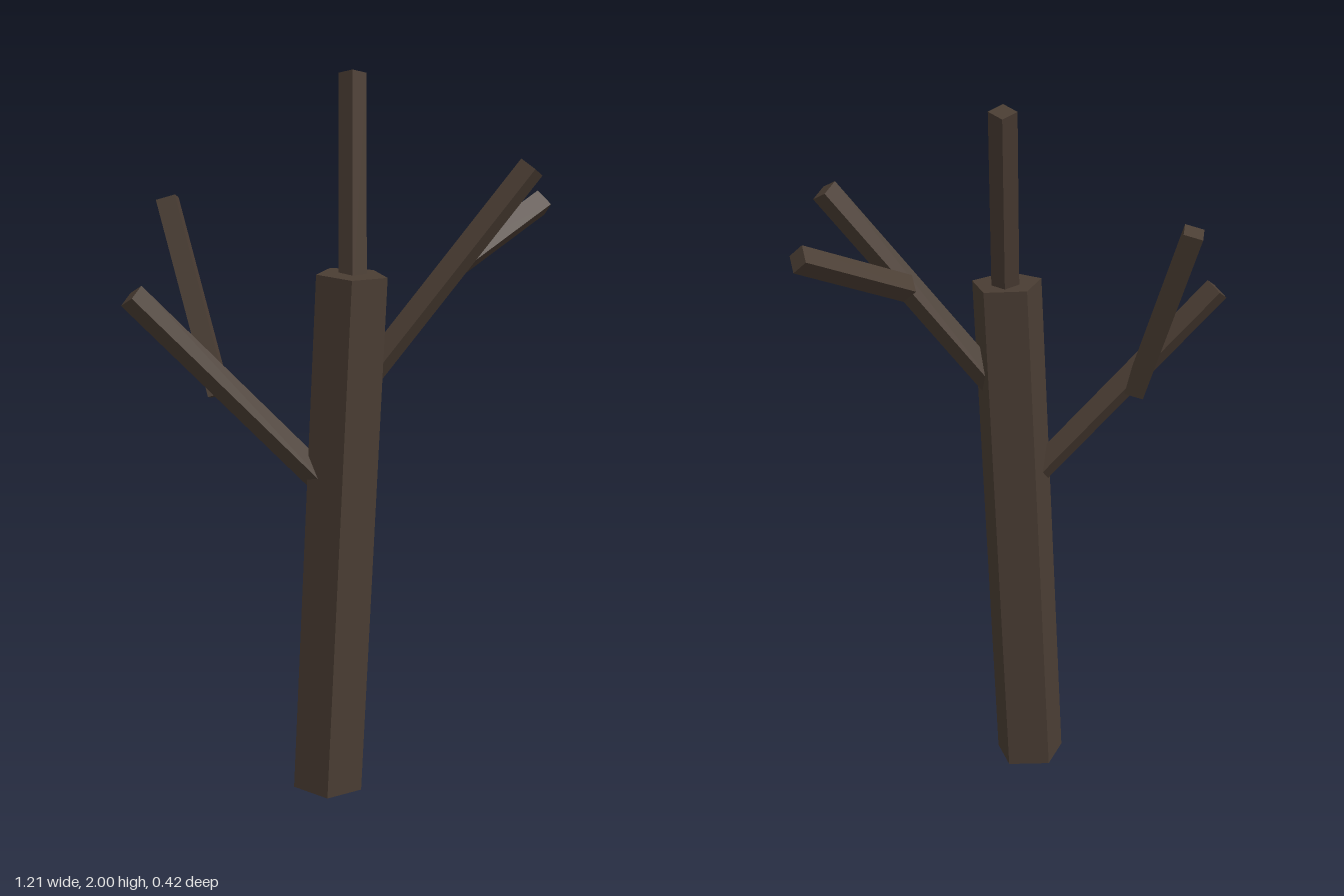
import * as THREE from 'three';

const bark = new THREE.MeshStandardMaterial({ color: 0x4a3d33, flatShading: true });

// A straight prism from a to b; its first corner lies in the vertical plane of its lean
function limb(name, a, b, radius, sides, thetaStart = 0) {
  const start = new THREE.Vector3(...a);
  const end = new THREE.Vector3(...b);
  const d = end.clone().sub(start);
  const geometry = new THREE.CylinderGeometry(radius, radius, d.length(), sides, 1, false, thetaStart);
  const mesh = new THREE.Mesh(geometry, bark);
  mesh.name = name;
  mesh.position.copy(start).add(end).multiplyScalar(0.5);
  mesh.rotation.set(Math.atan2(Math.hypot(d.x, d.z), d.y), Math.atan2(d.x, d.z), 0, 'YXZ');
  return mesh;
}

export function createModel() {
  const tree = new THREE.Group();
  tree.name = 'bareTree';

  // Five-sided leaning trunk, one corner facing right
  tree.add(limb('trunk', [-0.07, 0.005, 0.095], [0, 1.475, 0.095], 0.1, 5, Math.PI));

  // Four-sided branches, rooted inside the trunk, and twigs rooted in the branches
  const branches = [
    ['topBranch', [0, 1.4, 0.102], [0.06, 1.988, -0.085]],
    ['rightBranch', [-0.03, 0.85, 0.098], [-0.58, 1.435, 0.003]],
    ['rightTwig', [-0.35, 1.152, 0.018], [-0.435, 1.658, -0.18]],
    ['leftBranch', [0, 1.14, 0.097], [0.48, 1.75, 0.17]],
    ['leftTwig', [0.27, 1.475, 0.12], [0.59, 1.622, -0.015]],
  ];
  for (const [name, a, b] of branches) tree.add(limb(name, a, b, 0.038, 4));

  return tree;
}
